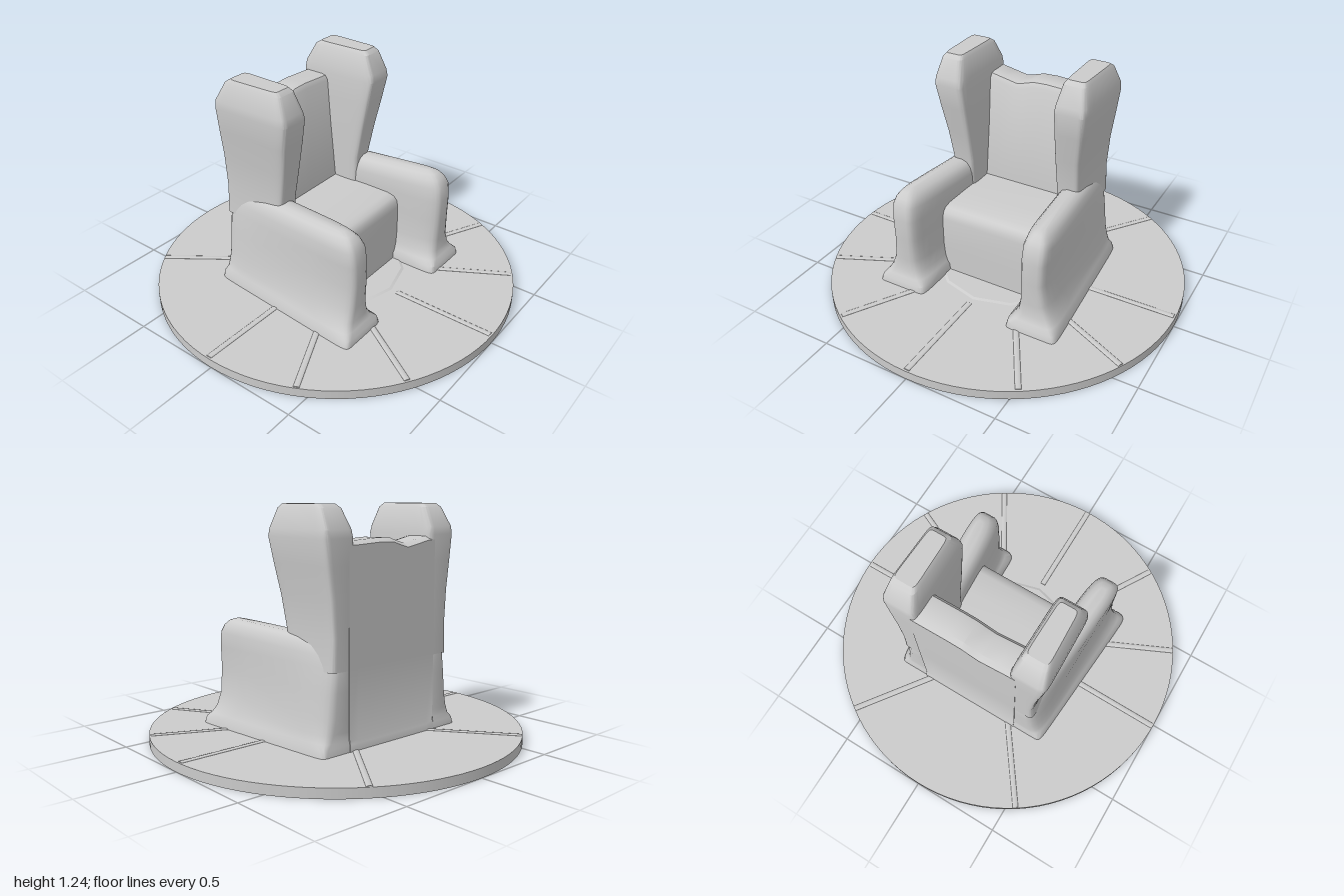
import * as THREE from 'three';
import { toCreasedNormals } from 'three/addons/utils/BufferGeometryUtils.js';

const material = new THREE.MeshStandardMaterial({ color: 0xcccccc });

function addMesh(parent, name, geometry) {
  const mesh = new THREE.Mesh(geometry, material);
  mesh.name = name;
  parent.add(mesh);
  return mesh;
}

// Skin closed rings of [x, y, z] points and cap both ends
function loft(rings, flip = false, crease = 0.6) {
  const n = rings[0].length;
  const pos = rings.flat(2);
  const index = [];
  const tri = (a, b, c) => (flip ? index.push(a, c, b) : index.push(a, b, c));
  for (let i = 0; i < rings.length - 1; i++) {
    for (let j = 0; j < n; j++) {
      const a = i * n + j, b = i * n + (j + 1) % n;
      tri(a, a + n, b + n);
      tri(a, b + n, b);
    }
  }
  [0, rings.length - 1].forEach((r, end) => {
    const centre = pos.length / 3;
    for (let k = 0; k < 3; k++) pos.push(rings[r].reduce((s, p) => s + p[k], 0) / n);
    for (let j = 0; j < n; j++) {
      const a = r * n + j, b = r * n + (j + 1) % n;
      end ? tri(centre, b, a) : tri(centre, a, b);
    }
  });
  const geo = new THREE.BufferGeometry();
  geo.setAttribute('position', new THREE.Float32BufferAttribute(pos, 3));
  geo.setIndex(index);
  return toCreasedNormals(geo, crease);
}

// Rounded four-sided outline; inner and outer x may differ from back to front
function outline(side, { y, front, back, zf, zb, power, drop = 0 }) {
  const points = [], count = 32;
  const squash = (v) => Math.sign(v) * Math.abs(v) ** (2 / power);
  for (let i = 0; i < count; i++) {
    const a = ((i + 0.5) / count) * Math.PI * 2;
    const u = (squash(Math.cos(a)) + 1) / 2, v = (squash(Math.sin(a)) + 1) / 2;
    const inner = THREE.MathUtils.lerp(back[0], front[0], v);
    const outer = THREE.MathUtils.lerp(back[1], front[1], v);
    points.push([side * THREE.MathUtils.lerp(inner, outer, u), y - drop * (1 - v), THREE.MathUtils.lerp(zb, zf, v)]);
  }
  return points;
}

// Arm levels: y, front inner/outer x, back inner/outer x, front z, back z, squareness
const armLevels = [
  [0.045, 0.25, 0.548, 0.24, 0.478, 0.49, -0.44, 16],
  [0.085, 0.255, 0.54, 0.24, 0.472, 0.485, -0.437, 14],
  [0.11, 0.275, 0.525, 0.24, 0.462, 0.468, -0.43, 8],
  [0.15, 0.29, 0.505, 0.24, 0.455, 0.456, -0.43, 6],
  [0.22, 0.3, 0.482, 0.24, 0.445, 0.455, -0.43, 5],
  [0.35, 0.305, 0.468, 0.24, 0.43, 0.46, -0.43, 5],
  [0.47, 0.305, 0.473, 0.24, 0.412, 0.46, -0.43, 5],
  [0.55, 0.31, 0.475, 0.24, 0.4, 0.45, -0.42, 5],
  [0.59, 0.32, 0.465, 0.25, 0.39, 0.428, -0.4, 4.5],
  [0.615, 0.34, 0.445, 0.27, 0.375, 0.4, -0.37, 4],
  [0.627, 0.365, 0.42, 0.3, 0.35, 0.36, -0.35, 4],
];

// Wing levels: y, inner x, outer x, front z, back z
const wingLevels = [
  [0.45, 0.25, 0.41, -0.06, -0.43],
  [0.61, 0.25, 0.402, -0.055, -0.43],
  [0.79, 0.25, 0.415, -0.022, -0.43],
  [0.95, 0.253, 0.438, 0.008, -0.43],
  [1.08, 0.256, 0.455, 0.03, -0.43],
  [1.12, 0.262, 0.452, 0.022, -0.425],
  [1.22, 0.283, 0.428, -0.02, -0.37],
  [1.24, 0.298, 0.415, -0.045, -0.34],
];

export function createModel() {
  const model = new THREE.Group();
  model.name = 'wingChairOnRoundBase';

  // Round floor plate
  const base = new THREE.Group();
  base.name = 'base';
  model.add(base);
  addMesh(base, 'floorDisc', new THREE.CylinderGeometry(1, 1, 0.05, 96)).position.y = 0.025;
  const hub = addMesh(base, 'floorCentre', new THREE.CylinderGeometry(0.39, 0.42, 0.012, 12));
  hub.position.set(0, 0.05, -0.02);

  // Shallow raised seams radiating across the floor
  const seams = [[0, 0.42, 0, 0.99]];
  for (const s of [-1, 1]) {
    seams.push([s * 0.25, -0.42, s * 0.55, -0.83], [s * 0.42, -0.015, s * 0.99, -0.02],
      [s * 0.5, 0.27, s * 0.885, 0.45], [s * 0.29, 0.43, s * 0.53, 0.835]);
  }
  for (const [x0, z0, x1, z1] of seams) {
    const geo = new THREE.CylinderGeometry(0.016, 0.016, Math.hypot(x1 - x0, z1 - z0), 10);
    geo.rotateX(Math.PI / 2).scale(1, 0.35, 1);
    const seam = addMesh(base, 'floorSeam', geo);
    seam.position.set((x0 + x1) / 2, 0.05, (z0 + z1) / 2);
    seam.rotation.y = Math.atan2(x1 - x0, z1 - z0);
  }

  const chair = new THREE.Group();
  chair.name = 'chair';
  model.add(chair);

  // Seat block with a rounded front edge
  const seatProfile = [[0.225, 0.045], [0.222, 0.2], [0.218, 0.38], [0.21, 0.42], [0.19, 0.442],
    [0.15, 0.454], [0, 0.462], [-0.25, 0.465], [-0.25, 0.045]];
  addMesh(chair, 'seat', loft([-0.32, 0.32].map((x) => seatProfile.map(([z, y]) => [x, y, z]))));

  // Leaning backrest with an uneven top edge
  const topEdge = [[-0.3, 1.075], [-0.25, 1.072], [-0.19, 1.06], [-0.1, 1.043], [-0.05, 1.056],
    [0, 1.072], [0.08, 1.076], [0.24, 1.068], [0.3, 1.068]];
  const backRings = topEdge.map(([x, h]) => [[x, 0.045, -0.2], [x, 0.46, -0.2], [x, h - 0.03, -0.258],
    [x, h - 0.005, -0.275], [x, h, -0.3], [x, h, -0.4], [x, h - 0.02, -0.43], [x, 0.47, -0.433],
    [x, 0.1, -0.433], [x, 0.085, -0.44], [x, 0.045, -0.443]]);
  addMesh(chair, 'backrest', loft(backRings));

  // Arms and wings on both sides
  for (const side of [1, -1]) {
    const label = side > 0 ? 'left' : 'right';
    const arm = armLevels.map(([y, fi, fo, bi, bo, zf, zb, power]) => outline(side,
      { y, front: [fi, fo], back: [bi, bo], zf, zb, power, drop: y > 0.5 ? 0.03 : 0 }));
    addMesh(chair, label + 'Arm', loft(arm, side < 0, 0.75));
    const wing = wingLevels.map(([y, xi, xo, zf, zb]) => outline(side,
      { y, front: [xi + 0.006, xo - 0.012], back: [xi, xo], zf, zb, power: 9 }));
    addMesh(chair, label + 'Wing', loft(wing, side < 0, 0.5));
  }
  return model;
}
